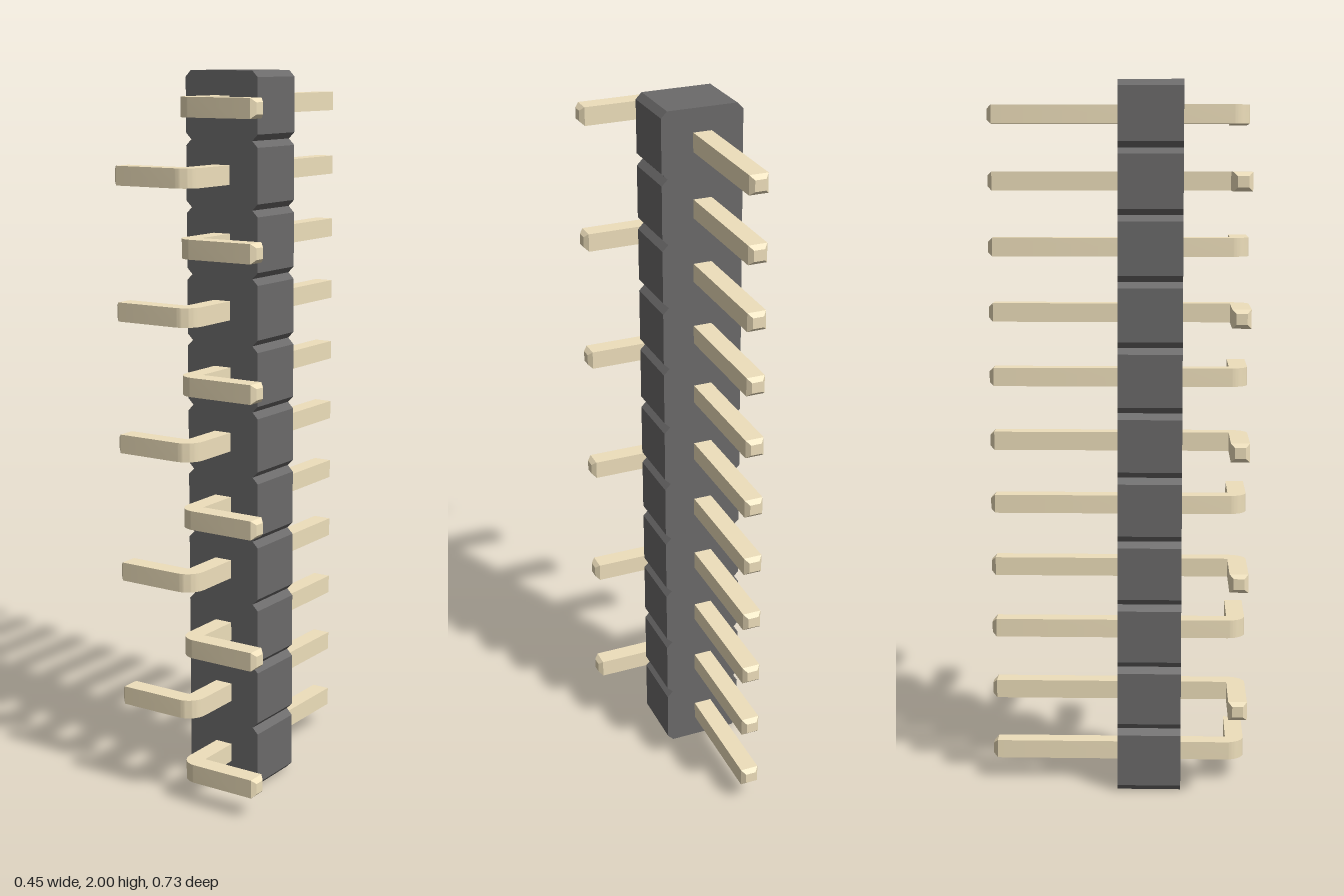
import * as THREE from 'three';
import { mergeVertices, toCreasedNormals } from 'three/addons/utils/BufferGeometryUtils.js';

const COUNT = 11;
const PITCH = 2 / COUNT;
const PIN = 0.026;      // half thickness of a pin
const REACH = 0.363;    // pin extent to front and back
const FOOT = 0.225;     // sideways extent of the foot
const TIP = 0.012;      // length of the tapered ends

// Notched block: one chamfered segment per pin
function bodyGeometry() {
  const w = 0.115, c = 0.017, right = [], left = [];
  for (let i = 0; i < COUNT; i++) {
    const y0 = i * PITCH, y1 = y0 + PITCH;
    for (const [x, y] of [[w - c, y0], [w, y0 + c], [w, y1 - c], [w - c, y1]]) {
      if (i > 0 && y === y0) continue; // shared notch point
      right.push(new THREE.Vector2(x, y));
      left.unshift(new THREE.Vector2(-x, y));
    }
  }
  return new THREE.ExtrudeGeometry(new THREE.Shape([...right, ...left]), { depth: 0.18, bevelEnabled: false });
}

// Square pin with a rounded outer elbow, drawn in plan and extruded vertically
function pinGeometry() {
  const s = new THREE.Shape();
  const r = 2 * PIN;
  s.moveTo(-PIN, -REACH + TIP);
  s.lineTo(PIN, -REACH + TIP);
  s.lineTo(PIN, REACH - r);
  s.lineTo(FOOT - TIP, REACH - r);
  s.lineTo(FOOT - TIP, REACH);
  s.lineTo(-PIN + r, REACH);
  s.absarc(-PIN + r, REACH - r, r, Math.PI / 2, Math.PI, false);
  const g = new THREE.ExtrudeGeometry(s, { depth: r, bevelEnabled: false, curveSegments: 10 });
  g.rotateX(Math.PI / 2);
  g.translate(0, PIN, 0);
  return toCreasedNormals(g, 0.6);
}

// Four-sided frustum pointing up, closing a pin end
function tipGeometry() {
  const g = new THREE.CylinderGeometry(0.015 * Math.SQRT2, PIN * Math.SQRT2, TIP, 4);
  g.rotateY(Math.PI / 4);
  return toCreasedNormals(g, 0.3);
}

export function createModel() {
  const model = new THREE.Group();
  model.name = 'pinHeader';
  const plastic = new THREE.MeshStandardMaterial({ color: 0x6b6a6a });
  const metal = new THREE.MeshStandardMaterial({ color: 0xeedfbb });

  const body = new THREE.Mesh(bodyGeometry(), plastic);
  body.name = 'body';
  model.add(body);

  const pinGeo = pinGeometry();
  const tipGeo = tipGeometry();
  for (let i = 0; i < COUNT; i++) {
    const pin = new THREE.Group();
    pin.name = 'pin' + (i + 1);

    const shaft = new THREE.Mesh(pinGeo, metal);
    shaft.name = 'bentShaft';

    const backTip = new THREE.Mesh(tipGeo, metal);
    backTip.name = 'backTip';
    backTip.rotation.x = -Math.PI / 2;
    backTip.position.z = -REACH + TIP / 2;

    const footTip = new THREE.Mesh(tipGeo, metal);
    footTip.name = 'footTip';
    footTip.rotation.z = -Math.PI / 2;
    footTip.position.set(FOOT - TIP / 2, 0, REACH - PIN);

    pin.add(shaft, backTip, footTip);
    // Feet alternate between the two sides
    pin.position.y = (i + 0.5) * PITCH;
    if (i % 2) pin.rotation.z = Math.PI;
    model.add(pin);
  }
  return model;
}
